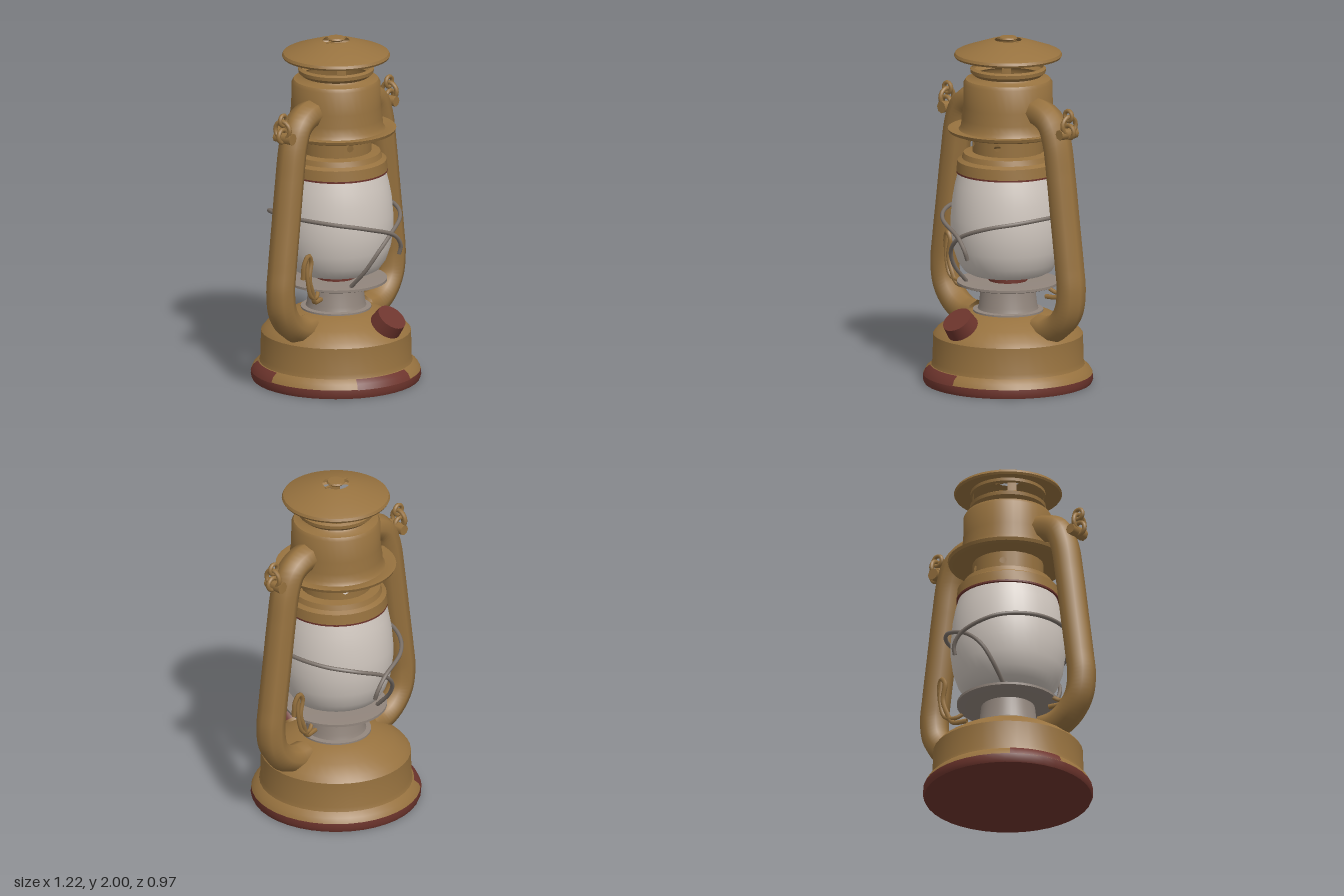
import * as THREE from 'three';
import { toCreasedNormals } from 'three/addons/utils/BufferGeometryUtils.js';

const paint = (name, color) => new THREE.MeshStandardMaterial({ name, color, side: THREE.DoubleSide });

export function createModel() {
  const model = new THREE.Group();
  model.name = 'lantern';
  const brass = paint('brass', 0x97723f);
  const red = paint('red paint', 0x6e352d);
  const glass = paint('frosted glass', 0xcfc6be);
  const steel = paint('grey steel', 0x91857c);
  const wire = paint('dark wire', 0x7a7068);

  const add = (name, geometry, material, parent = model) => {
    const mesh = new THREE.Mesh(geometry, material);
    mesh.name = name;
    parent.add(mesh);
    return mesh;
  };
  // Turned part from [radius, height] pairs, bottom to top
  const turned = (name, material, profile, start = 0, sweep = Math.PI * 2, segments = 40) => {
    const pts = profile.map(([r, y]) => new THREE.Vector2(r, y));
    return add(name, toCreasedNormals(new THREE.LatheGeometry(pts, segments, start, sweep), 0.6), material);
  };
  // Round bar through a smooth path
  const bar = (name, material, path, radius, parent = model, sides = 8, steps = 48) => {
    const curve = new THREE.CatmullRomCurve3(path.map(p => new THREE.Vector3(...p)));
    return add(name, new THREE.TubeGeometry(curve, steps, radius, sides), material, parent);
  };

  // Fuel tank with worn red foot
  turned('tankFoot', red, [[0, 0], [0.475, 0], [0.483, 0.02], [0.48, 0.052]]);
  turned('fuelTank', brass, [[0.48, 0.052], [0.465, 0.08], [0.435, 0.105], [0.428, 0.13], [0.425, 0.28],
    [0.4, 0.31], [0.33, 0.355], [0.25, 0.395], [0.19, 0.415], [0.14, 0.42]]);
  for (const [start, sweep] of [[-0.68, 0.8], [-2.45, 0.65]]) {
    turned('footPaintPatch', red, [[0.484, 0.05], [0.469, 0.082], [0.442, 0.104]], start, sweep, 10);
  }

  // Burner collar and gallery plate
  turned('burnerCollar', steel, [[0.2, 0.412], [0.2, 0.422], [0.172, 0.426], [0.165, 0.45], [0.152, 0.565]]);
  turned('galleryPlate', steel, [[0.14, 0.555], [0.27, 0.565], [0.29, 0.572], [0.29, 0.586], [0.25, 0.588], [0, 0.588]]);
  turned('burner', red, [[0.11, 0.588], [0.11, 0.64], [0, 0.645]]);

  // Glass globe
  turned('globe', glass, [[0, 0.632], [0.215, 0.632], [0.25, 0.65], [0.285, 0.7], [0.312, 0.78], [0.325, 0.88],
    [0.325, 0.96], [0.315, 1.07], [0.3, 1.15], [0.28, 1.225], [0.2, 1.26], [0, 1.27]]);

  // Crown above the globe
  turned('crownEdge', red, [[0.28, 1.212], [0.293, 1.215], [0.293, 1.225]]);
  turned('crown', brass, [[0.293, 1.225], [0.287, 1.285], [0.262, 1.3], [0.252, 1.33], [0.195, 1.338]]);

  // Perforated chimney: flat panels, four of them with air holes
  const chimney = new THREE.Group();
  chimney.name = 'chimney';
  model.add(chimney);
  const panels = 24, radius = 0.2, half = radius * Math.tan(Math.PI / panels);
  for (let i = 0; i < panels; i++) {
    const shape = new THREE.Shape([[-half, 1.335], [half, 1.335], [half, 1.45], [-half, 1.45]]
      .map(p => new THREE.Vector2(...p)));
    if ([2, 10, 14, 22].includes(i)) {
      shape.holes.push(new THREE.Path().absarc(0, 1.39, 0.02, 0, Math.PI * 2, true));
    }
    const g = new THREE.ShapeGeometry(shape, 8);
    const p = g.attributes.position;
    for (let k = 0; k < p.count; k++) {
      const a = Math.atan2(p.getX(k), radius);
      g.attributes.normal.setXYZ(k, Math.sin(a), 0, Math.cos(a));
    }
    g.translate(0, 0, radius).rotateY(i * Math.PI * 2 / panels);
    add('chimneyPanel', g, brass, chimney);
  }

  // Hood with wide flange, and the vent ring on top
  turned('hood', brass, [[0.2, 1.445], [0.3, 1.44], [0.335, 1.452], [0.342, 1.47], [0.325, 1.472], [0.28, 1.465],
    [0.266, 1.485], [0.264, 1.53], [0.254, 1.6], [0.252, 1.735], [0.24, 1.755], [0.2, 1.765], [0.19, 1.775],
    [0.213, 1.795], [0.215, 1.815], [0.198, 1.825]]);
  for (let i = 0; i < 4; i++) {
    add('ventPillar', new THREE.CylinderGeometry(0.2, 0.2, 0.06, 4, 1, true,
      Math.PI / 4 + i * Math.PI / 2 - 0.13, 0.26).translate(0, 1.85, 0), brass);
  }

  // Roof with an open centre and a small finial
  turned('ventTopRing', brass, [[0.198, 1.872], [0.212, 1.88], [0.212, 1.9]]);
  turned('roof', brass, [[0.205, 1.9], [0.27, 1.885], [0.3, 1.88], [0.307, 1.892], [0.3, 1.907], [0.28, 1.917],
    [0.2, 1.945], [0.12, 1.972], [0.076, 1.98]]);
  turned('finial', brass, [[0, 1.98], [0.045, 1.98], [0.053, 1.988], [0.048, 1.997], [0, 2]], 0, Math.PI * 2, 16);
  add('finialBridge', new THREE.BoxGeometry(0.17, 0.01, 0.016).translate(0, 1.978, 0), brass);

  // Side frames, bail rings and latches, repeated by a half turn
  for (const turn of [0, Math.PI]) {
    const side = new THREE.Group();
    side.name = turn ? 'rightSide' : 'leftSide';
    side.rotation.y = turn;
    model.add(side);
    bar('frameTube', brass, [[0.2, 1.605, 0], [0.29, 1.595, 0], [0.365, 1.55, 0], [0.41, 1.45, 0], [0.445, 1.25, 0],
      [0.48, 1, 0], [0.515, 0.75, 0], [0.53, 0.61, 0], [0.51, 0.49, 0], [0.44, 0.4, 0], [0.35, 0.355, 0],
      [0.26, 0.35, 0]], 0.08, side, 8, 64).scale.z = 1.06;

    add('lowerRing', new THREE.TorusGeometry(0.036, 0.013, 8, 18).translate(0.515, 1.53, 0), brass, side);
    add('upperRing', new THREE.TorusGeometry(0.03, 0.012, 8, 18).translate(0.507, 1.62, 0), brass, side);
    add('crossRing', new THREE.TorusGeometry(0.05, 0.013, 8, 18).rotateY(Math.PI / 2)
      .translate(0.512, 1.565, 0), brass, side);
    add('ringLug', new THREE.CylinderGeometry(0.03, 0.035, 0.12, 8).rotateX(Math.PI / 2)
      .translate(0.495, 1.515, 0), brass, side);

    bar('latchLever', brass, [[0.425, 0.68, -0.08], [0.425, 0.77, -0.09], [0.4, 0.815, -0.1], [0.375, 0.78, -0.1],
      [0.39, 0.68, -0.1], [0.36, 0.59, -0.1], [0.33, 0.53, -0.09], [0.24, 0.52, -0.07]], 0.014, side, 6);
    bar('latchStrap', brass, [[0.405, 0.8, -0.095], [0.41, 0.68, -0.1], [0.375, 0.57, -0.1], [0.31, 0.55, -0.09],
      [0.27, 0.57, -0.07]], 0.012, side, 6);
  }

  // Guard wires: half paths mirrored front to back
  const guard = (name, path) => {
    const back = path.slice(0, -1).reverse().map(([x, y, z]) => [x, y, -z]);
    bar(name, wire, [...path, ...back], 0.012, model, 8, 90);
  };
  guard('hookedGuardWire', [[0.08, 0.77, 0.385], [0.075, 0.82, 0.4], [0.02, 0.89, 0.4], [-0.17, 0.96, 0.345],
    [-0.295, 0.99, 0.2], [-0.342, 1, 0]]);
  guard('leggedGuardWire', [[-0.13, 0.59, 0.2], [-0.127, 0.7, 0.3], [-0.09, 0.8, 0.355], [0, 0.885, 0.372],
    [0.17, 0.955, 0.325], [0.29, 0.985, 0.195], [0.342, 1, 0]]);

  // Filler neck and cap
  const filler = new THREE.Group();
  filler.name = 'filler';
  filler.position.set(0, 0.385, 0.37);
  filler.rotation.x = 0.66;
  model.add(filler);
  add('fillerNeck', new THREE.CylinderGeometry(0.06, 0.06, 0.1, 16).translate(0, -0.07, 0), brass, filler);
  add('fillerCap', new THREE.CylinderGeometry(0.088, 0.096, 0.075, 20), red, filler);

  return model;
}
